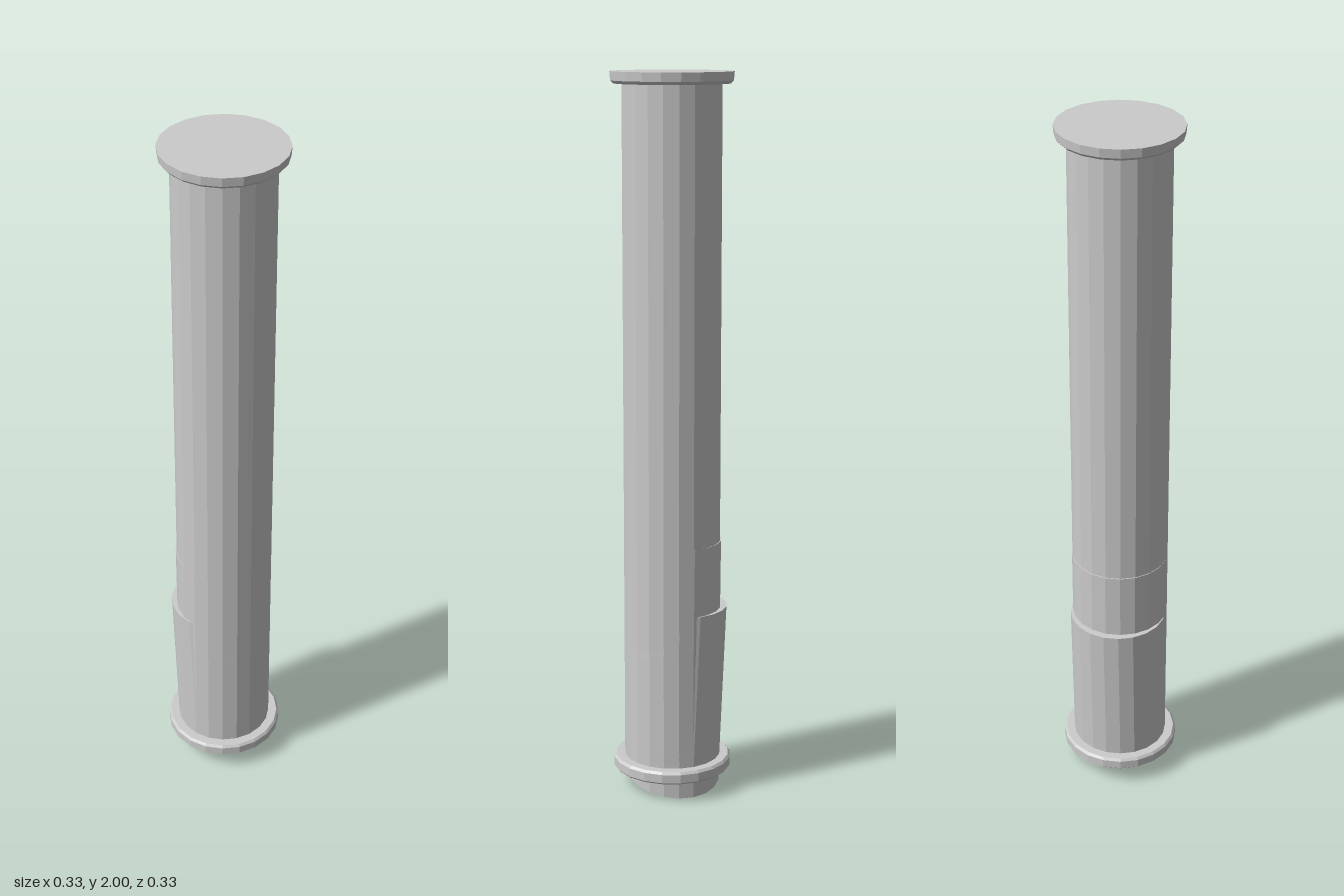
import * as THREE from 'three';

const SIDES = 20;
const RADIUS = 0.135;

export function createModel() {
  const group = new THREE.Group();
  const material = new THREE.MeshStandardMaterial({ color: 0xcccccc, flatShading: true });

  function add(name, geometry) {
    const mesh = new THREE.Mesh(geometry, material);
    mesh.name = name;
    group.add(mesh);
    return mesh;
  }

  // Closed turned part from [radius, height] pairs, listed bottom to top
  const turned = (profile) =>
    new THREE.LatheGeometry(profile.map(([r, y]) => new THREE.Vector2(r, y)), SIDES);

  // Cylinder between two heights whose top is shifted sideways
  function leaning(bottomY, topY, radius, topX) {
    const height = topY - bottomY;
    const geometry = new THREE.CylinderGeometry(radius, radius, height, SIDES);
    geometry.translate(0, height / 2, 0);
    const p = geometry.attributes.position;
    for (let i = 0; i < p.count; i++) {
      p.setX(i, p.getX(i) + topX * p.getY(i) / height);
    }
    geometry.translate(0, bottomY, 0);
    return geometry;
  }

  // Main shaft
  add('shaft', turned([[0, 0.07], [RADIUS, 0.07], [RADIUS, 1.985], [0, 1.985]]));

  // Flanges at both ends
  add('topFlange', turned([
    [0, 1.968], [0.157, 1.968], [0.165, 1.976], [0.167, 2], [0, 2],
  ]));
  add('bottomFlange', turned([
    [0, 0.055], [0.161, 0.055], [0.166, 0.06], [0.166, 0.084], [0.16, 0.091], [0, 0.091],
  ]));

  // Slightly leaning sleeves that break through the lower shaft
  add('lowerSleeve', leaning(0.075, 0.527, 0.1355, -0.021));
  add('upperSleeve', leaning(0.4, 0.72, 0.1352, -0.003));

  // Foot with a slanted underside, lowest at the back
  const foot = new THREE.CylinderGeometry(RADIUS, RADIUS, 0.09, SIDES);
  foot.translate(0, 0.045, 0);
  const p = foot.attributes.position;
  for (let i = 0; i < p.count; i++) {
    if (p.getY(i) < 0.01) p.setY(i, 0.25 * (p.getZ(i) + RADIUS));
  }
  add('slantedFoot', foot);

  return group;
}
